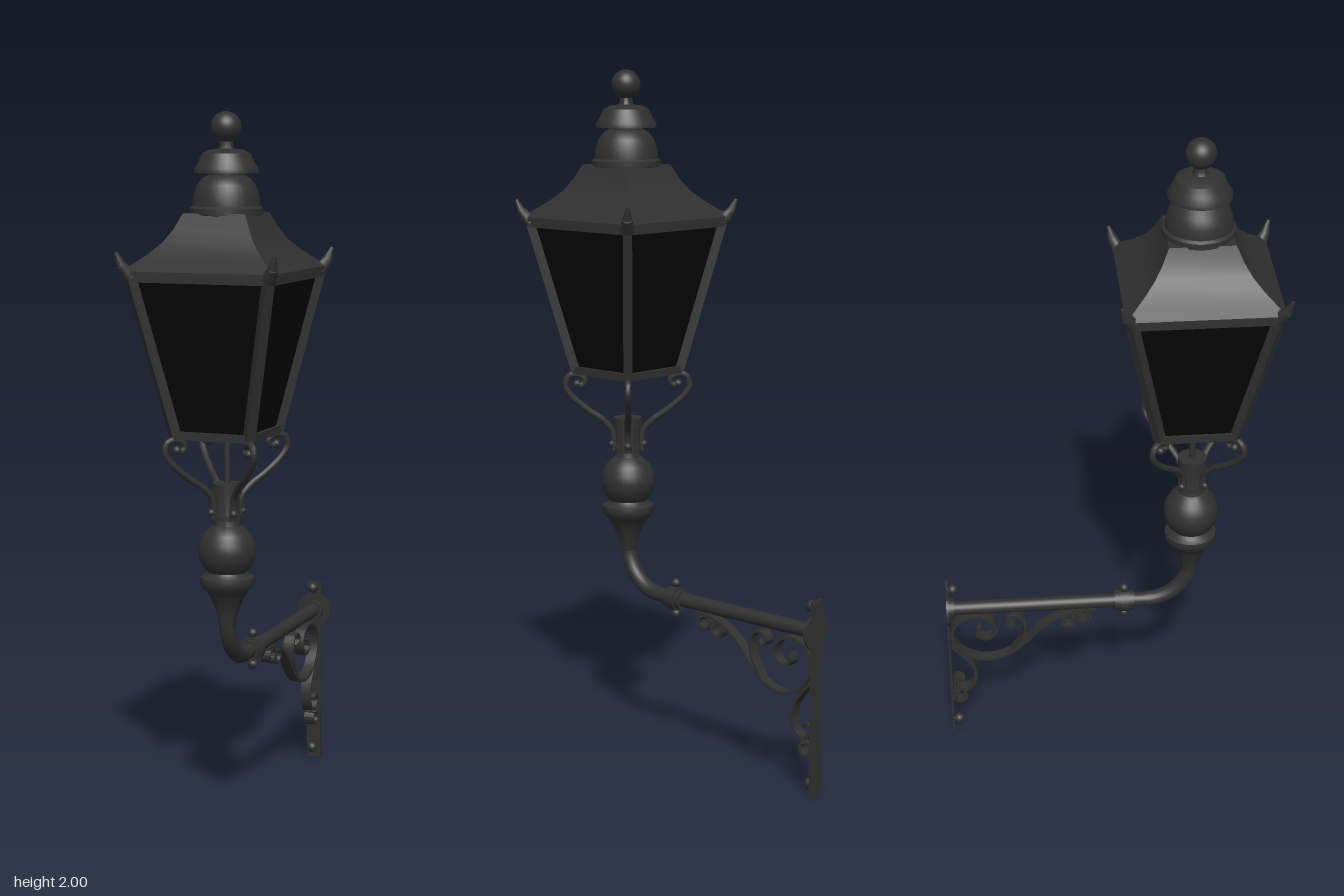
import * as THREE from 'three';
import { toCreasedNormals } from 'three/addons/utils/BufferGeometryUtils.js';

const iron = new THREE.MeshStandardMaterial({ color: 0x303030 });
iron.name = 'dark iron';
const glassMat = new THREE.MeshStandardMaterial({ color: 0x060606 });
glassMat.name = 'black glass';

const V = (x, y, z) => new THREE.Vector3(x, y, z);
const CORNERS = [[1, 1], [1, -1], [-1, -1], [-1, 1]];

function add(parent, name, geometry, x = 0, y = 0, z = 0, material = iron) {
  const mesh = new THREE.Mesh(geometry, material);
  mesh.name = name;
  mesh.position.set(x, y, z);
  parent.add(mesh);
  return mesh;
}

// Turned part from [radius, y] pairs, bottom to top
function turned(profile, sides = 32, crease = 0.6) {
  const points = profile.map(([r, y]) => new THREE.Vector2(r, y));
  return toCreasedNormals(new THREE.LatheGeometry(points, sides), crease);
}

// Square tapering part from [half width, y] pairs
function squareTurned(profile) {
  return turned(profile.map(([h, y]) => [h * Math.SQRT2, y]), 4, 0.5).rotateY(Math.PI / 4);
}

// Straight bar between two points
function bar(parent, name, a, b, width, depth = width) {
  const mesh = add(parent, name, new THREE.BoxGeometry(width, depth, a.distanceTo(b)));
  mesh.position.copy(a).lerp(b, 0.5);
  mesh.lookAt(b);
  return mesh;
}

// Tapered round spike between two points
function spike(parent, name, a, b, r0, r1) {
  const mesh = add(parent, name, new THREE.CylinderGeometry(r1, r0, a.distanceTo(b), 10));
  mesh.position.copy(a).lerp(b, 0.5);
  mesh.quaternion.setFromUnitVectors(V(0, 1, 0), b.clone().sub(a).normalize());
}

// Flat iron strip bent along [z, y] points, with its width across x
function ribbon(points, thickness = 0.009, width = 0.032) {
  const curve = new THREE.CatmullRomCurve3(points.map(([z, y]) => V(z, y, 0)));
  const n = points.length * 6;
  const left = [], right = [];
  for (let i = 0; i <= n; i++) {
    const p = curve.getPoint(i / n), t = curve.getTangent(i / n);
    const ox = -t.y * thickness / 2, oy = t.x * thickness / 2;
    left.push(new THREE.Vector2(p.x + ox, p.y + oy));
    right.unshift(new THREE.Vector2(p.x - ox, p.y - oy));
  }
  const geometry = new THREE.ExtrudeGeometry(new THREE.Shape([...left, ...right]), { depth: width, bevelEnabled: false });
  return toCreasedNormals(geometry.translate(0, 0, -width / 2).rotateY(-Math.PI / 2), 0.7);
}

function buildLantern() {
  const g = new THREE.Group();
  g.name = 'lantern';

  // Glazed body
  add(g, 'glass', squareTurned([[0, 1.137], [0.108, 1.137], [0.197, 1.567], [0, 1.567]]), 0, 0, 0, glassMat);
  CORNERS.forEach(([sx, sz], i) => {
    const [nx, nz] = CORNERS[(i + 1) % 4];
    const low = V(sx * 0.108, 1.132, sz * 0.108), high = V(sx * 0.198, 1.57, sz * 0.198);
    const post = bar(g, 'cornerPost', low, high, 0.026);
    post.up.set(0, 1, 0);
    bar(g, 'bottomRail', low, V(nx * 0.108, 1.132, nz * 0.108), 0.022, 0.022);
    bar(g, 'topRail', V(sx * 0.2, 1.562, sz * 0.2), V(nx * 0.2, 1.562, nz * 0.2), 0.02, 0.022);

    // Curled horn at the roof corner
    const a = V(sx * 0.195, 1.565, sz * 0.195), b = V(sx * 0.214, 1.595, sz * 0.214), c = V(sx * 0.225, 1.63, sz * 0.225);
    spike(g, 'horn', a, b, 0.022, 0.014);
    spike(g, 'hornTip', b, c, 0.014, 0.005);

    // Scrolled bracket carrying the lantern corner
    const path = [[0.028, 0.89], [0.032, 0.95], [0.05, 0.98], [0.085, 1.015], [0.117, 1.055], [0.129, 1.085],
      [0.122, 1.113], [0.1, 1.117], [0.088, 1.1], [0.094, 1.086], [0.105, 1.09]]
      .map(([d, y]) => V(sx * d, y, sz * d));
    add(g, 'scrollBracket', new THREE.TubeGeometry(new THREE.CatmullRomCurve3(path), 50, 0.0095, 8));
    add(g, 'bracketCurlEnd', new THREE.SphereGeometry(0.012, 12, 8), path[10].x, path[10].y, path[10].z);
    add(g, 'bracketRivet', new THREE.SphereGeometry(0.011, 10, 8), sx * 0.033, 0.91, sz * 0.033);
  });

  // Flared roof
  add(g, 'roof', squareTurned([[0, 1.568], [0.215, 1.568], [0.215, 1.58], [0.187, 1.602], [0.158, 1.626],
    [0.13, 1.655], [0.108, 1.69], [0.09, 1.73], [0, 1.73]]));

  // Two-tier vent and ball finial
  add(g, 'vent', turned([[0.085, 1.722], [0.1, 1.725], [0.1, 1.742], [0.092, 1.748], [0.09, 1.775], [0.08, 1.803],
    [0.064, 1.823], [0.05, 1.83], [0.05, 1.836], [0.088, 1.836], [0.087, 1.848], [0.076, 1.865], [0.066, 1.888],
    [0.045, 1.898], [0.022, 1.901], [0.018, 1.91], [0.018, 1.93]]));
  add(g, 'finialBall', new THREE.SphereGeometry(0.042, 28, 20), 0, 1.958);

  // Central supply rod
  add(g, 'centreRod', new THREE.CylinderGeometry(0.009, 0.009, 0.17, 12), 0, 1.06);
  return g;
}

function buildPost() {
  const g = new THREE.Group();
  g.name = 'post';
  // Sleeve, globe, collar ring and tapering neck
  add(g, 'turnedNeck', turned([[0.022, 0.58], [0.026, 0.605], [0.033, 0.635], [0.046, 0.665], [0.057, 0.685], [0.07, 0.697],
    [0.077, 0.712], [0.075, 0.727], [0.06, 0.735], [0.055, 0.742], [0.068, 0.757], [0.077, 0.777], [0.081, 0.8],
    [0.077, 0.825], [0.065, 0.849], [0.047, 0.867], [0.038, 0.873], [0.034, 0.89], [0.034, 0.985], [0, 0.985]]));
  add(g, 'sleeveRim', new THREE.CylinderGeometry(0.041, 0.041, 0.03, 28), 0, 0.975);
  add(g, 'sleeveBand', new THREE.CylinderGeometry(0.039, 0.039, 0.015, 28), 0, 0.895);
  return g;
}

function buildArm() {
  const g = new THREE.Group();
  g.name = 'wallArm';
  const alongZ = (r, length) => new THREE.CylinderGeometry(r, r, length, 28).rotateX(Math.PI / 2);

  // Elbow and straight pipe
  const bend = [];
  for (let i = 0; i <= 8; i++) {
    const t = (i / 8) * Math.PI / 2;
    bend.push(V(0, 0.605 - 0.13 * Math.sin(t), 0.12 + 0.13 * Math.cos(t)));
  }
  add(g, 'elbow', new THREE.TubeGeometry(new THREE.CatmullRomCurve3(bend), 28, 0.023, 20));
  add(g, 'pipe', alongZ(0.021, 0.6), 0, 0.475, -0.175);

  // Collar with knobs
  add(g, 'collar', alongZ(0.03, 0.06), 0, 0.475, 0.055);
  add(g, 'collarBand', alongZ(0.035, 0.028), 0, 0.475, 0.055);
  for (const s of [-1, 1]) {
    add(g, 'knobStem', new THREE.CylinderGeometry(0.008, 0.008, 0.03, 10), 0, 0.475 + s * 0.037, 0.055);
    add(g, 'knob', new THREE.SphereGeometry(0.014, 14, 10), 0, 0.475 + s * 0.046, 0.055);
  }

  // Wall plate, boss and screws
  add(g, 'wallPlate', new THREE.BoxGeometry(0.044, 0.565, 0.008), 0, 0.2825, -0.476);
  add(g, 'wallDisc', alongZ(0.052, 0.008), 0, 0.475, -0.475);
  add(g, 'wallBoss', alongZ(0.03, 0.016), 0, 0.475, -0.464);
  for (const y of [0.035, 0.547]) {
    add(g, 'screwHead', new THREE.SphereGeometry(0.016, 16, 12), 0, y, -0.458);
    add(g, 'screwShank', alongZ(0.009, 0.02), 0, y, -0.466);
  }

  // Scrollwork below the pipe
  add(g, 'mainScroll', ribbon([[-0.03, 0.452], [-0.09, 0.448], [-0.15, 0.425], [-0.2, 0.39], [-0.24, 0.345], [-0.29, 0.3],
    [-0.365, 0.279], [-0.437, 0.312], [-0.467, 0.375], [-0.447, 0.427], [-0.39, 0.445], [-0.345, 0.425],
    [-0.335, 0.385], [-0.362, 0.36], [-0.392, 0.376], [-0.384, 0.402]]));
  add(g, 'upperScroll', ribbon([[-0.285, 0.305], [-0.252, 0.36], [-0.245, 0.41], [-0.262, 0.438], [-0.29, 0.438],
    [-0.302, 0.42], [-0.288, 0.405], [-0.275, 0.413]]));
  add(g, 'lowerScroll', ribbon([[-0.467, 0.33], [-0.435, 0.295], [-0.407, 0.255], [-0.4, 0.21], [-0.417, 0.172], [-0.448, 0.165],
    [-0.467, 0.188], [-0.455, 0.208], [-0.437, 0.198]]));
  // Small curls: centre z, centre y, start angle
  for (const [z, y, start] of [[-0.068, 0.428, 1.6], [-0.115, 0.413, 1.2], [-0.45, 0.135, 1.6]]) {
    const curl = [];
    for (let i = 0; i <= 9; i++) {
      const a = start + i * 0.62;
      curl.push([z + 0.02 * Math.cos(a), y + 0.02 * Math.sin(a)]);
    }
    add(g, 'smallCurl', ribbon(curl, 0.008));
  }
  return g;
}

export function createModel() {
  const model = new THREE.Group();
  model.name = 'wallLamp';
  const lantern = buildLantern(), post = buildPost();
  lantern.position.z = post.position.z = 0.25;
  model.add(lantern, post, buildArm());
  return model;
}
